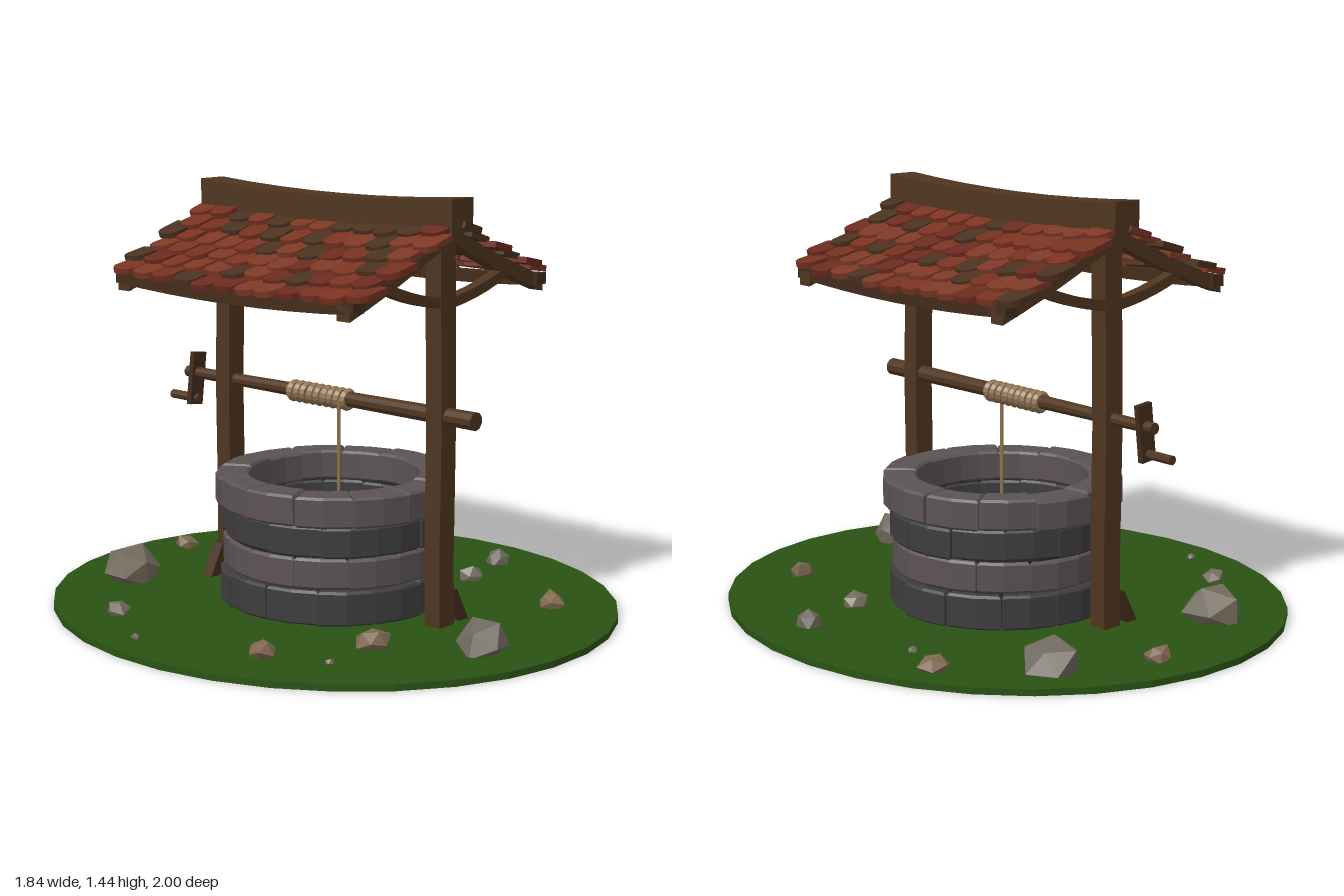
import * as THREE from 'three';

let seed = 7;
const rand = () => (seed = (seed * 16807) % 2147483647) / 2147483647;
const vary = (a) => (rand() - 0.5) * 2 * a;

const mat = (color) => new THREE.MeshStandardMaterial({ color, flatShading: true });
const WOOD = mat(0x4f3520), DARK_WOOD = mat(0x432c1b), ROPE = mat(0x8f7350), GRASS = mat(0x2a5214);
const MORTAR = mat(0x262426);
const STONES = [mat(0x3d3c3f), mat(0x5b5254)];
const TILES = [0x7d3826, 0x74301f, 0x7d3826, 0x6b2a1f, 0x7a3322, 0x4a3220].map(mat);
const ROCKS = [mat(0x746c5e), mat(0x7f6850), mat(0x6d675c)];

function add(parent, name, geometry, material, x = 0, y = 0, z = 0) {
  const mesh = new THREE.Mesh(geometry, material);
  mesh.name = name;
  mesh.position.set(x, y, z);
  parent.add(mesh);
  return mesh;
}

// Band between a line of points and the same line shifted by (dx, dy), extruded and centred on z
function ribbon(points, dx, dy, depth) {
  const a = points.map(([x, y]) => new THREE.Vector2(x, y));
  const b = points.map(([x, y]) => new THREE.Vector2(x + dx, y + dy)).reverse();
  const geo = new THREE.ExtrudeGeometry(new THREE.Shape([...a, ...b]), { depth, bevelEnabled: false });
  return geo.translate(0, 0, -depth / 2);
}

const roofY = (x) => 1.385 - 0.5 * x + 0.15 * x * x;
const sag = (z) => 0.022 * (1 - (z / 0.56) ** 2);
const range = (n, f) => Array.from({ length: n }, (_, i) => f(i, i / (n - 1)));

// Beam along z that sags in the middle
function saggingBeam(half, top, height, width) {
  const pts = range(9, (i, t) => {
    const z = (t * 2 - 1) * half;
    return [z, top - sag(z)];
  });
  return ribbon(pts, 0, -height, width).rotateY(Math.PI / 2);
}

// One course of bevelled wedge blocks over a mortar core
function stoneRing(parent, y, height, outer, material, turn) {
  const n = 13, b = 0.008, inner = 0.295;
  const ring = new THREE.Group();
  ring.name = 'stoneCourse';
  for (let i = 0; i < n; i++) {
    const half = Math.PI / n - 0.022 + vary(0.006);
    const r = outer - b + vary(0.008);
    const corner = (rad, a) => new THREE.Vector2(Math.cos(a) * rad, Math.sin(a) * rad);
    const shape = new THREE.Shape([
      corner(inner + b, -half), corner(r, -half), corner(r * 1.005, 0),
      corner(r, half), corner(inner + b, half), corner(inner + b, 0),
    ]);
    const geo = new THREE.ExtrudeGeometry(shape, {
      depth: height - 2 * b - 0.004, bevelThickness: b, bevelSize: b, bevelSegments: 1,
    }).rotateX(-Math.PI / 2);
    const block = add(ring, 'stoneBlock', geo, material, 0, y + b + vary(0.003), 0);
    block.rotation.y = turn + (i / n) * Math.PI * 2;
  }
  parent.add(ring);
}

function buildWell() {
  const well = new THREE.Group();
  well.name = 'wellWall';
  well.position.set(0.02, 0, -0.008);
  [[0.02, 0.122, 0.392], [0.142, 0.108, 0.38], [0.25, 0.108, 0.382], [0.358, 0.108, 0.405]]
    .forEach(([y, h, r], i) => stoneRing(well, y, h, r, STONES[i % 2], i * 0.26));
  const core = [[0.305, 0.02], [0.362, 0.02], [0.362, 0.452], [0.305, 0.452], [0.305, 0.02]];
  add(well, 'mortar', new THREE.LatheGeometry(core.map((p) => new THREE.Vector2(...p)), 26), MORTAR);
  return well;
}

// Rounded roof tile: lower edge at the origin, running up toward -x
function tileGeometry() {
  const w = 0.046, s = new THREE.Shape();
  s.moveTo(-0.115, -w);
  s.lineTo(-0.03, -w);
  [[-0.009, -0.034], [0, -0.014], [0, 0.014], [-0.009, 0.034], [-0.03, w]].forEach((p) => s.lineTo(...p));
  s.lineTo(-0.115, w);
  return new THREE.ExtrudeGeometry(s, { depth: 0.02, bevelEnabled: false }).rotateX(-Math.PI / 2);
}

// One roof slope with its tiles, rafters, braces and eaves board
function roofSide() {
  const side = new THREE.Group();
  side.name = 'roofSlope';
  const tile = tileGeometry();
  for (let row = 0; row < 6; row++) {
    const x = 0.5 - row * 0.078;
    const slope = Math.atan(0.5 - 0.3 * (x - 0.05));
    for (let c = 0; c < 12; c++) {
      const z = -0.53 + c * 0.095 + (row % 2 ? 0.018 : -0.018);
      const material = TILES[Math.floor(rand() * TILES.length)];
      const xx = x + vary(0.009);
      const m = add(side, 'roofTile', tile, material, xx, roofY(xx) - 0.02 - sag(z) + vary(0.003), z);
      m.rotation.set(vary(0.05), vary(0.05), -slope + 0.15 + vary(0.03));
    }
  }
  const rafter = range(7, (i, t) => [0.48 * t, roofY(0.48 * t) - 0.04]);
  const brace = new THREE.QuadraticBezierCurve(
    new THREE.Vector2(0.02, 1.115), new THREE.Vector2(0.2, 1.14), new THREE.Vector2(0.34, 1.21),
  ).getPoints(6).map((p) => [p.x, p.y]);
  for (const z of [-0.5, 0.5]) {
    add(side, 'rafter', ribbon(rafter, 0, -0.05, 0.055), WOOD, 0, 0, z);
    add(side, 'curvedBrace', ribbon(brace, 0, -0.035, 0.04), WOOD, 0, 0, z);
  }
  add(side, 'eavesBoard', saggingBeam(0.54, 1.155, 0.04, 0.05), DARK_WOOD, 0.455);
  return side;
}

// Bent post with a small kick brace at its foot
function postEnd() {
  const end = new THREE.Group();
  end.name = 'postEnd';
  const line = [[-0.035, 0.02], [-0.04, 0.25], [-0.036, 0.7], [-0.05, 1.36]];
  add(end, 'post', ribbon(line, 0.073, 0, 0.065), WOOD, 0, 0, 0.49);
  add(end, 'footBrace', ribbon([[0.02, 0.135], [0.08, 0.02]], 0.045, 0, 0.045), DARK_WOOD, 0, 0, 0.49);
  return end;
}

function buildWindlass() {
  const g = new THREE.Group();
  g.name = 'windlass';
  g.position.y = 0.727;
  add(g, 'axle', new THREE.CylinderGeometry(0.031, 0.02, 1.34, 10).rotateX(Math.PI / 2), WOOD, 0, 0, -0.035);
  const coil = new THREE.TorusGeometry(0.024, 0.015, 6, 14);
  for (let i = 0; i < 9; i++) add(g, 'ropeCoil', coil, ROPE, 0, -0.002, 0.08 - i * 0.031).rotation.y = vary(0.08);
  add(g, 'hangingRope', new THREE.CylinderGeometry(0.006, 0.006, 0.62, 6), ROPE, -0.034, -0.31, 0.07);
  const crank = new THREE.Group();
  crank.name = 'crank';
  crank.position.set(0, 0, -0.66);
  crank.rotation.z = -0.12;
  add(crank, 'crankArm', new THREE.BoxGeometry(0.06, 0.19, 0.02), DARK_WOOD, 0, -0.02, 0);
  add(crank, 'crankHandle', new THREE.CylinderGeometry(0.016, 0.016, 0.14, 8).rotateX(Math.PI / 2), WOOD, 0, -0.092, -0.045);
  g.add(crank);
  return g;
}

function buildRocks() {
  const rocks = new THREE.Group();
  rocks.name = 'rocks';
  const spots = [
    [-0.26, -0.7, 0.108], [0.19, -0.82, 0.045], [0.48, -0.63, 0.092], [-0.6, -0.46, 0.042],
    [0.73, -0.36, 0.052], [-0.77, -0.23, 0.017], [0.65, -0.19, 0.017], [-0.67, 0.21, 0.052],
    [0.69, 0.25, 0.048], [0.45, 0.28, 0.044], [0.33, 0.68, 0.05], [-0.22, 0.75, 0.09],
    [-0.61, 0.43, 0.016], [-0.39, 0.44, 0.06],
  ];
  spots.forEach(([x, z, r], i) => {
    const geo = new THREE.IcosahedronGeometry(r, 0);
    const p = geo.attributes.position;
    // Uneven each corner by a rule that depends only on where it is
    for (let k = 0; k < p.count; k++) {
      const v = new THREE.Vector3().fromBufferAttribute(p, k);
      v.multiplyScalar(1 + 0.16 * Math.sin((v.x * 5 + v.y * 7 + v.z * 9) / r + i * 2));
      p.setXYZ(k, v.x, v.y, v.z);
    }
    geo.rotateX(i).rotateZ(i * 1.7).scale(1, 0.85, 0.95);
    geo.computeVertexNormals();
    add(rocks, 'rock', geo, ROCKS[i % 3], x, 0.02 + r * 0.3, z);
  });
  // Keep the stones from poking out below the ground
  rocks.children.forEach((m) => {
    const p = m.geometry.attributes.position;
    for (let k = 0; k < p.count; k++) p.setY(k, Math.max(p.getY(k), 0.008 - m.position.y));
    m.geometry.computeVertexNormals();
  });
  return rocks;
}

export function createModel() {
  const model = new THREE.Group();
  model.name = 'well';
  add(model, 'ground', new THREE.CylinderGeometry(1, 1, 0.022, 32).scale(0.92, 1, 1), GRASS, 0, 0.011, 0);
  model.add(buildWell(), buildRocks());

  // Timber frame and roof, turned slightly across the well
  const frame = new THREE.Group();
  frame.name = 'timberFrame';
  frame.position.x = -0.015;
  frame.rotation.y = -0.122;
  for (const turn of [0, Math.PI]) {
    const half = new THREE.Group();
    half.name = 'frameHalf';
    half.rotation.y = turn;
    half.add(roofSide(), postEnd());
    frame.add(half);
  }
  add(frame, 'ridgeBeam', saggingBeam(0.57, 1.435, 0.11, 0.105), WOOD);
  frame.add(buildWindlass());
  model.add(frame);
  return model;
}
